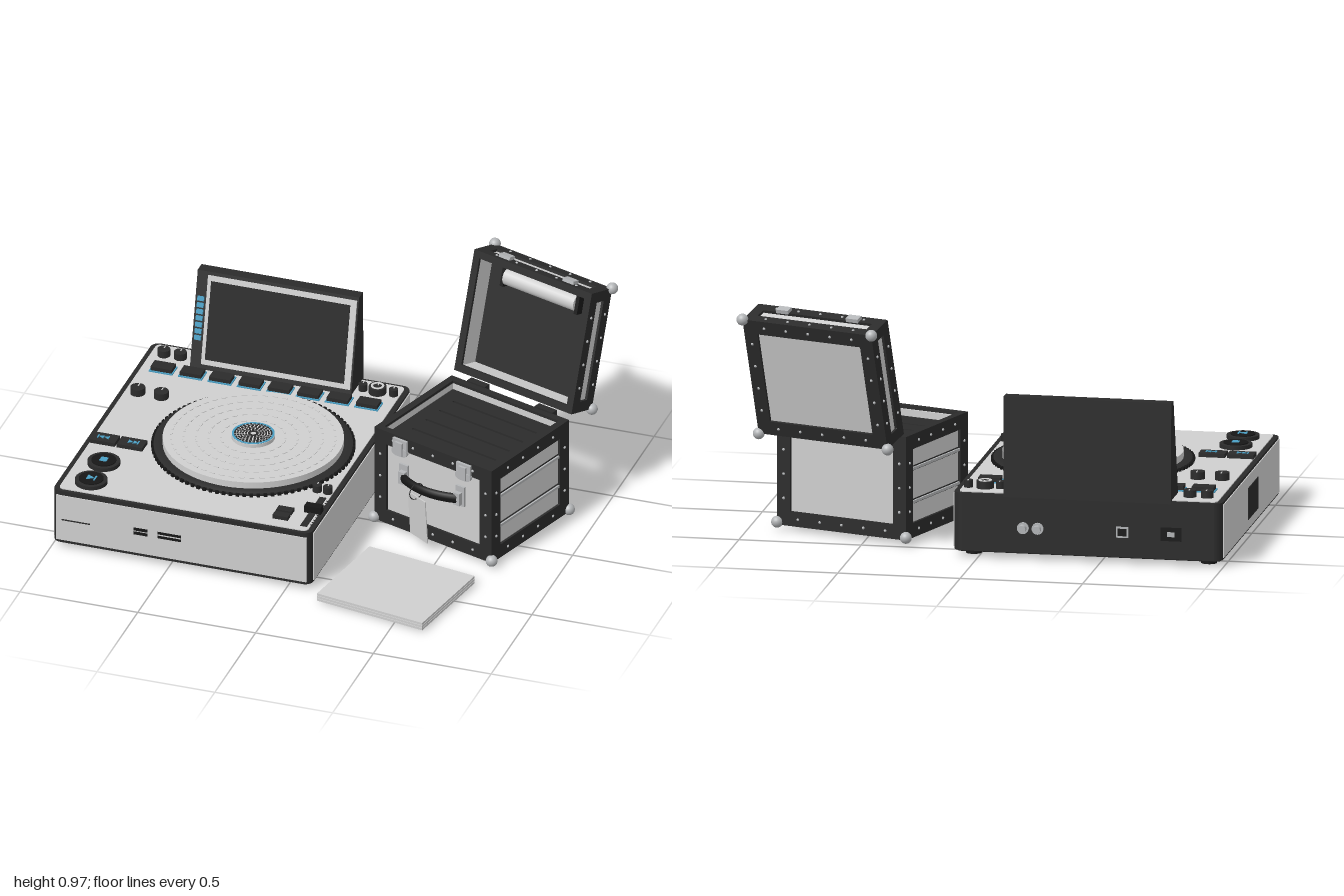
import * as THREE from 'three';
import { mergeGeometries } from 'three/addons/utils/BufferGeometryUtils.js';

const mat = (name, color) => Object.assign(new THREE.MeshStandardMaterial({ color }), { name });
const light = mat('light grey', 0xcfcfcf), dark = mat('charcoal', 0x2b2b2b), black = mat('black', 0x171717);
const glass = mat('screen glass', 0x202020), blue = mat('blue', 0x4a9fc4), silver = mat('silver', 0xb4b6b8);

function add(parent, name, geo, m, x = 0, y = 0, z = 0) {
  const mesh = new THREE.Mesh(geo, m);
  mesh.name = name;
  mesh.position.set(x, y, z);
  parent.add(mesh);
  return mesh;
}
function group(parent, name, x = 0, y = 0, z = 0) {
  const g = new THREE.Group();
  g.name = name;
  g.position.set(x, y, z);
  parent.add(g);
  return g;
}
const box = (p, name, m, w, h, d, x, y, z) => add(p, name, new THREE.BoxGeometry(w, h, d), m, x, y, z);
const disc = (p, name, m, r, h, x, y, z, n = 32) => add(p, name, new THREE.CylinderGeometry(r, r, h, n), m, x, y, z);

function rect(w, h, r = 0.001, x = 0, y = 0) {
  const s = new THREE.Shape(), a = w / 2 - r, b = h / 2 - r;
  s.absarc(x + a, y + b, r, 0, Math.PI / 2);
  s.absarc(x - a, y + b, r, Math.PI / 2, Math.PI);
  s.absarc(x - a, y - b, r, Math.PI, Math.PI * 1.5);
  s.absarc(x + a, y - b, r, Math.PI * 1.5, Math.PI * 2);
  return s;
}
const plate = (shape, depth) => new THREE.ExtrudeGeometry(shape, { depth, bevelEnabled: false, curveSegments: 6 });
// flat ring lying in the ground plane, with a square section
const ring = (ri, ro, h) => new THREE.LatheGeometry(
  [[ri, 0], [ro, 0], [ro, h], [ri, h], [ri, 0]].map(p => new THREE.Vector2(...p)), 64);
// small copies of one shape around a circle
function dots(n, r, make) {
  return mergeGeometries(Array.from({ length: n }, (_, i) =>
    make().translate(r, 0, 0).rotateY(i / n * Math.PI * 2)));
}

function buildDeck(root) {
  const g = group(root, 'deck'), cx = -0.4475, top = 0.268;
  add(g, 'deckBody', plate(rect(1.097, 1.24, 0.035), 0.237).rotateX(-Math.PI / 2), dark, cx, 0.027, -0.005);
  add(g, 'underside', plate(rect(1.08, 1.22, 0.03), 0.006).rotateX(-Math.PI / 2), black, cx, 0.022, -0.005);
  add(g, 'topPlate', plate(rect(1.055, 1.21, 0.02), 0.006).rotateX(-Math.PI / 2), light, cx, 0.262, -0.005);
  box(g, 'frontPanel', light, 1.062, 0.205, 0.008, cx, 0.1425, 0.615);
  for (const s of [-1, 1]) {
    box(g, 'sidePanel', light, 0.008, 0.218, 1.18, cx + s * 0.5485, 0.145, -0.005);
    for (const z of [-0.535, 0.53]) disc(g, 'foot', black, 0.033, 0.026, cx + s * 0.48, 0.013, z, 20);
  }
  // front and side vents
  box(g, 'frontLine', dark, 0.12, 0.005, 0.004, -0.895, 0.135, 0.619);
  for (const y of [0.132, 0.15]) {
    box(g, 'frontSlot', black, 0.06, 0.013, 0.004, -0.62, y, 0.619);
    box(g, 'frontSlot', black, 0.1, 0.011, 0.004, -0.498, y, 0.619);
  }
  box(g, 'sideVent', dark, 0.004, 0.13, 0.21, -1.001, 0.14, 0.02);
  // rear sockets
  for (const x of [-0.245, -0.185]) {
    add(g, 'audioJack', new THREE.CylinderGeometry(0.016, 0.016, 0.04, 16).rotateX(Math.PI / 2), silver, x, 0.13, -0.64);
    add(g, 'jackBase', new THREE.CylinderGeometry(0.024, 0.024, 0.012, 16).rotateX(Math.PI / 2), silver, x, 0.13, -0.628);
  }
  box(g, 'dataPort', silver, 0.05, 0.045, 0.006, -0.59, 0.13, -0.626);
  box(g, 'dataPortHole', black, 0.036, 0.03, 0.006, -0.59, 0.13, -0.628);
  box(g, 'powerSocket', black, 0.085, 0.055, 0.008, -0.79, 0.13, -0.626);
  box(g, 'powerPin', silver, 0.03, 0.02, 0.006, -0.79, 0.13, -0.629);

  // platter
  const p = group(g, 'platter', -0.345, 0.264, 0.03);
  add(p, 'platterSurround', ring(0.35, 0.4, 0.018), dark);
  add(p, 'strobeDots', dots(90, 0.402, () => new THREE.BoxGeometry(0.016, 0.016, 0.014)), black, 0, 0.008, 0);
  disc(p, 'platterDisc', light, 0.364, 0.044, 0, 0.024, 0, 72);
  for (const r of [0.13, 0.18, 0.23, 0.28, 0.33])
    add(p, 'platterRidge', dots(Math.round(r * 150), r, () => new THREE.BoxGeometry(0.008, 0.004, 0.022)), light, 0, 0.0465, 0);
  disc(p, 'hub', light, 0.088, 0.02, 0, 0.052, 0, 48);
  add(p, 'hubRing', ring(0.077, 0.086, 0.003), blue, 0, 0.061, 0);
  for (const r of [0.03, 0.041, 0.052, 0.063, 0.074])
    add(p, 'hubDots', dots(Math.round(r * 420), r, () => new THREE.BoxGeometry(0.0075, 0.003, 0.0095)), dark, 0, 0.0625, 0);
  add(p, 'hubCentre', ring(0.012, 0.022, 0.003), dark, 0, 0.061, 0);

  // row of lit pads
  for (let i = 0; i < 8; i++) {
    const x = -0.885 + i * 0.1246;
    box(g, 'padGlow', blue, 0.1, 0.006, 0.068, x, top + 0.002, -0.425);
    box(g, 'pad', dark, 0.09, 0.022, 0.056, x, top + 0.01, -0.425);
  }
  // knobs: x, z, radius
  for (const [x, z, r] of [[-0.92, -0.535, 0.026], [-0.85, -0.535, 0.026], [-0.92, -0.215, 0.03], [-0.82, -0.215, 0.03],
    [-0.075, -0.535, 0.018], [0.055, -0.535, 0.018], [-0.013, -0.535, 0.036], [0.015, 0.285, 0.019], [0.06, 0.285, 0.019]]) {
    disc(g, 'knob', dark, r, 0.03, x, top + 0.015, z, 20);
    box(g, 'knobMark', light, 0.004, 0.003, r * 0.7, x, top + 0.031, z - r * 0.5);
  }
  add(g, 'browseRing', ring(0.018, 0.027, 0.004), light, -0.013, top + 0.029, -0.535);
  // track buttons and transport buttons
  const tri = (x, y, z, dir, r) => disc(g, 'buttonIcon', blue, r, 0.004, x, y, z, 3).rotation.y = dir * Math.PI / 2;
  for (const [x, s] of [[-0.922, -1], [-0.805, 1]]) {
    box(g, 'trackButton', dark, 0.108, 0.016, 0.066, x, top + 0.008, 0.187);
    for (const o of [-0.009, 0.013]) tri(x + o, top + 0.017, 0.187, s, 0.013);
    box(g, 'buttonIcon', blue, 0.005, 0.004, 0.024, x + s * 0.026, top + 0.017, 0.187);
  }
  for (const z of [0.36, 0.515]) {
    disc(g, 'transportButton', dark, 0.066, 0.016, -0.865, top + 0.008, z, 40);
    disc(g, 'transportCap', black, 0.05, 0.008, -0.865, top + 0.016, z, 40);
  }
  box(g, 'buttonIcon', blue, 0.03, 0.004, 0.03, -0.865, top + 0.021, 0.36);
  tri(-0.872, top + 0.021, 0.515, 1, 0.02);
  box(g, 'buttonIcon', blue, 0.006, 0.004, 0.034, -0.848, top + 0.021, 0.515);
  // pitch slider
  box(g, 'sliderTrack', dark, 0.028, 0.006, 0.24, 0.055, top, 0.45);
  box(g, 'sliderHandle', black, 0.07, 0.03, 0.035, 0.055, top + 0.015, 0.445);
  for (let i = 0; i < 11; i++) box(g, 'sliderTick', dark, 0.008, 0.002, 0.004, 0.08, top, 0.35 + i * 0.02);
  for (const z of [0.485, 0.532]) box(g, 'smallButton', dark, 0.065, 0.016, 0.035, -0.052, top + 0.008, z);

  // tilted display housing
  const side = new THREE.Shape([[-0.63, 0.255], [-0.475, 0.255], [-0.575, 0.668], [-0.622, 0.668]].map(q => new THREE.Vector2(...q)));
  add(g, 'displayHousing', plate(side, 0.685).rotateY(-Math.PI / 2), dark, -0.105, 0, 0);
  const f = group(g, 'displayFace', -0.4325, 0.4725, -0.5265);
  f.rotation.x = -0.2375;
  box(f, 'displayFrame', light, 0.632, 0.375, 0.008, 0.005, 0, 0);
  box(f, 'displayScreen', glass, 0.59, 0.33, 0.009, 0, 0, 0.003);
  for (let i = 0; i < 7; i++) box(f, 'displayKey', blue, 0.028, 0.019, 0.008, -0.334, -0.08 + i * 0.0275, 0.002);
}

// framed wall facing +z: dark edging, light panel and rivets
function wall(parent, name, w, h, b, pos, rot) {
  const g = group(parent, name, ...pos);
  g.rotation.set(...rot);
  const s = rect(w, h);
  s.holes.push(rect(w - 2 * b, h - 2 * b));
  add(g, 'edging', plate(s, 0.012), dark, 0, 0, -0.012);
  box(g, 'panel', light, w - 0.03, h - 0.03, 0.014, 0, 0, -0.018);
  const rivets = [], rivet = (x, y) => rivets.push(new THREE.SphereGeometry(0.006, 8, 6).translate(x, y, 0));
  const nx = Math.round(w / 0.1) - 1, ny = Math.round(h / 0.1) - 1;
  for (const e of [-1, 1]) {
    for (let i = 0; i < nx; i++) rivet((i - (nx - 1) / 2) * 0.1, e * (h / 2 - b * 0.5));
    for (let i = 0; i < ny; i++) rivet(e * (w / 2 - b * 0.5), (i - (ny - 1) / 2) * 0.1);
  }
  add(g, 'rivets', mergeGeometries(rivets), silver);
  return g;
}
// rim around an open face
function rim(parent, w, h, b, t) {
  const s = rect(w, h);
  s.holes.push(rect(w - 2 * b, h - 2 * b));
  return add(parent, 'rim', plate(s, t), dark);
}

function buildCase(root) {
  const Q = Math.PI / 2, W = 0.59, H = 0.425, D = 0.515, T = 0.14, b = 0.06;
  const c = group(root, 'flightCase', 0.524, 0, -0.137);
  c.rotation.y = -0.314;

  // lower box
  const g = group(c, 'caseBody', 0, 0.2325, 0);
  const front = wall(g, 'caseFront', W, H, b, [0, 0, D / 2], [0, 0, 0]);
  wall(g, 'caseBack', W, H, b, [0, 0, -D / 2], [0, Math.PI, 0]);
  wall(g, 'caseBottom', W, D, b, [0, -H / 2, 0], [Q, 0, 0]);
  for (const s of [-1, 1]) {
    const a = wall(g, 'caseSide', D, H, b, [s * W / 2, 0, 0], [0, s * Q, 0]);
    for (const y of [-0.067, 0.07]) {
      box(a, 'railGroove', dark, 0.39, 0.02, 0.004, 0, y, -0.01);
      box(a, 'rail', silver, 0.39, 0.011, 0.012, 0, y, -0.007);
    }
    for (const z of [-1, 1]) add(g, 'cornerBall', new THREE.SphereGeometry(0.024, 20, 14), silver, s * W / 2, -0.201, z * D / 2);
  }
  const r = rim(g, W, D, 0.03, 0.012);
  r.rotation.x = -Q;
  r.position.y = H / 2 - 0.011;
  // slotted insert
  const foam = rect(W - 0.04, D - 0.04);
  for (let i = 0; i < 4; i++) foam.holes.push(rect(0.42, 0.011, 0.004, 0, -0.115 + i * 0.09));
  add(g, 'slottedInsert', plate(foam, 0.05).rotateX(-Q), dark, 0, 0.12, 0);
  box(g, 'insertFloor', light, W - 0.05, 0.01, D - 0.05, 0, 0.112, 0);

  // carrying handle, latches and tag
  const arc = new THREE.QuadraticBezierCurve3(new THREE.Vector3(-0.135, 0, 0.02), new THREE.Vector3(0, 0, 0.085), new THREE.Vector3(0.135, 0, 0.02));
  add(front, 'handleGrip', new THREE.TubeGeometry(arc, 20, 0.012, 8).scale(1, 1.9, 1), black, 0, 0.042, 0);
  for (const s of [-1, 1]) {
    box(front, 'handleBracket', silver, 0.042, 0.09, 0.01, s * 0.142, 0.05, 0.004);
    box(front, 'handleClamp', silver, 0.03, 0.055, 0.025, s * 0.138, 0.042, 0.016);
    box(front, 'latchPlate', silver, 0.07, 0.05, 0.012, s * 0.16, 0.18, 0.005);
    for (const o of [-1, 1])
      add(front, 'latchRoller', new THREE.CylinderGeometry(0.018, 0.018, 0.014, 16).rotateX(Q), silver, s * 0.16 + o * 0.02, 0.15, 0.008);
    box(front, 'latchHook', silver, 0.035, 0.06, 0.018, s * 0.16, 0.165, 0.012);
  }
  const tag = group(front, 'tag', -0.03, -0.085, 0.06);
  tag.rotation.set(0.08, -0.25, 0);
  box(tag, 'tagCard', light, 0.11, 0.2, 0.004, 0, 0, 0);
  add(tag, 'tagLoop', new THREE.TorusGeometry(0.035, 0.002, 6, 24).rotateY(Q), dark, 0, 0.125, 0);

  // open lid leaning back
  const l = group(c, 'caseLid', 0, 0.6935, -0.41);
  l.rotation.x = -0.267;
  const e = 0.046;
  wall(l, 'lidOuter', W, D, b, [0, 0, -T / 2], [0, Math.PI, 0]);
  const tip = wall(l, 'lidTip', W, T, e, [0, D / 2, 0], [-Q, 0, 0]);
  wall(l, 'lidHingeSide', W, T, e, [0, -D / 2, 0], [Q, 0, 0]);
  for (const s of [-1, 1]) {
    wall(l, 'lidSide', T, D, e, [s * W / 2, 0, 0], [0, s * Q, 0]);
    for (const y of [-1, 1]) add(l, 'cornerBall', new THREE.SphereGeometry(0.024, 20, 14), silver, s * W / 2, y * D / 2, -T / 2);
    box(tip, 'lidCatch', silver, 0.055, 0.035, 0.016, s * 0.16, -0.035, 0.006);
    box(c, 'hinge', dark, 0.09, 0.035, 0.03, s * 0.17, 0.435, -0.268);
    box(l, 'lampEnd', black, 0.016, 0.085, 0.05, s * 0.186, 0.165, -0.025);
  }
  rim(l, W, D, 0.03, 0.012).position.z = T / 2 - 0.011;
  box(l, 'lidLining', dark, W - 0.05, D - 0.05, 0.012, 0, 0, -0.04);
  add(l, 'lamp', new THREE.CylinderGeometry(0.036, 0.036, 0.356, 24).rotateZ(Q), light, 0, 0.165, -0.022);
}

function buildStack(root) {
  // loose stack of square sleeves
  const g = group(root, 'sleeveStack', 0.428, 0, 0.516);
  g.rotation.y = -0.178;
  for (let i = 0; i < 3; i++) {
    box(g, 'sleeve', light, 0.484, 0.01, 0.43, 0, 0.01 + i * 0.012, 0);
    if (i < 2) box(g, 'sleeveGap', dark, 0.478, 0.002, 0.424, 0, 0.016 + i * 0.012, 0);
  }
}

export function createModel() {
  const root = new THREE.Group();
  root.name = 'deckAndCase';
  buildDeck(root);
  buildCase(root);
  buildStack(root);
  return root;
}
